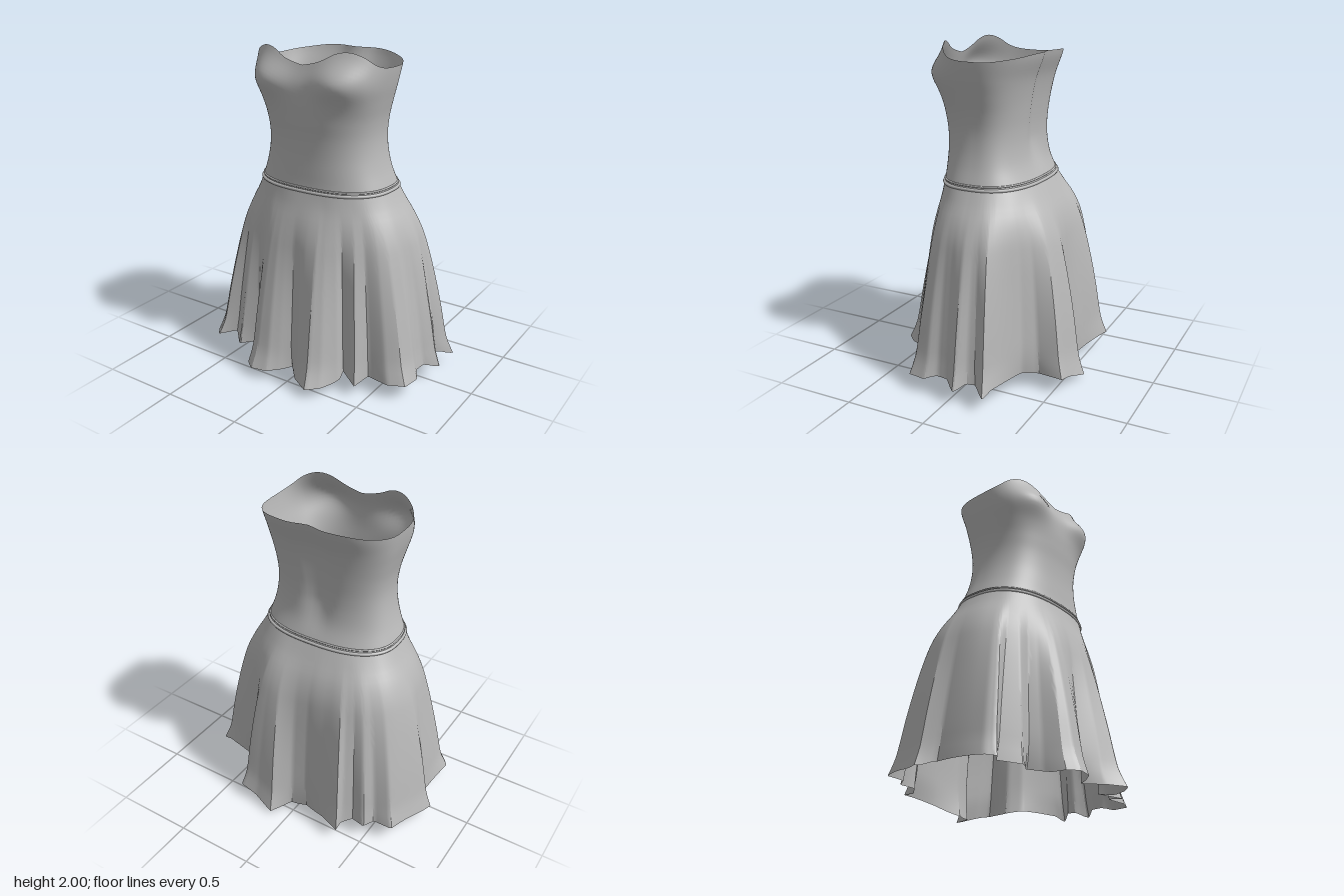
import * as THREE from 'three';
import { toCreasedNormals } from 'three/addons/utils/BufferGeometryUtils.js';

// Smooth lookup through rows of [key, value, value, ...]
function table(rows) {
  const size = rows[0].length - 1;
  const f = new THREE.CubicInterpolant(rows.map(r => r[0]), rows.flatMap(r => r.slice(1)), size);
  return t => Array.from(f.evaluate(t));
}

// Closed loft: point(i, j) for rows from bottom to top, columns around
function loft(rows, cols, point, crease) {
  const pos = [], index = [];
  for (let i = 0; i <= rows; i++)
    for (let j = 0; j < cols; j++) pos.push(...point(i, j));
  for (let i = 0; i < rows; i++)
    for (let j = 0; j < cols; j++) {
      const a = i * cols + j, b = i * cols + (j + 1) % cols;
      index.push(a, b, a + cols, b, b + cols, a + cols);
    }
  const g = new THREE.BufferGeometry();
  g.setAttribute('position', new THREE.Float32BufferAttribute(pos, 3));
  g.setIndex(index);
  g.computeVertexNormals();
  return crease ? toCreasedNormals(g, crease) : g;
}

// Torso: height, half width, front depth, back depth, front roundness
const torso = table([
  [1.1, 0.46, 0.325, 0.31, 0.8], [1.2, 0.425, 0.308, 0.26, 0.8], [1.3, 0.39, 0.302, 0.222, 0.8],
  [1.4, 0.367, 0.300, 0.207, 0.8], [1.5, 0.358, 0.305, 0.207, 0.76], [1.6, 0.366, 0.318, 0.217, 0.7],
  [1.7, 0.387, 0.326, 0.232, 0.62], [1.8, 0.41, 0.318, 0.255, 0.58], [1.92, 0.428, 0.286, 0.30, 0.62],
  [2.02, 0.43, 0.272, 0.32, 0.66],
]);
// Neckline height by angle from the front centre
const neckline = table([
  [0, 1.915], [0.2, 1.945], [0.4, 1.988], [0.6, 2.0], [0.85, 1.98], [1.2, 1.927],
  [1.57, 1.905], [2.3, 1.922], [2.8, 1.943], [Math.PI, 1.945],
]);

const power = (v, e) => Math.sign(v) * Math.abs(v) ** e;

// Body cross-section point, grown outward by `grow`
function body(y, a, grow = 0) {
  const [w, f, b, round] = torso(y);
  const front = Math.cos(a) > 0;
  // the sides share one exponent so front and back meet cleanly
  const x = (w + grow) * power(Math.sin(a), 0.8);
  const c = power(Math.cos(a), front ? round : 0.8);
  let z = c * ((front ? f : b) + grow);
  let push = 0;
  if (front) { // bust
    const dy = (y - 1.835) / (y < 1.835 ? 0.105 : 0.11);
    for (const s of [-1, 1])
      push += 0.065 * Math.exp(-(((x - s * 0.24) / 0.15) ** 2) - dy * dy) * Math.min(1, c * 1.5);
  } else { // hollow of the spine, fading towards the waist
    z += 0.032 * Math.exp(-((x / 0.08) ** 2)) * THREE.MathUtils.smoothstep(y, 1.2, 1.45);
  }
  return [x * (1 + push * 0.6) - 0.006, y, z + push];
}

// Hem outline (x, z), from the front centre towards +x and round
const HEM = [
  [-0.01, 0.43], [0.08, 0.53], [0.20, 0.60], [0.27, 0.53], [0.32, 0.40], [0.30, 0.33],
  [0.43, 0.415], [0.46, 0.30], [0.60, 0.32], [0.70, 0.28], [0.72, 0.17], [0.68, 0.10],
  [0.69, 0.03], [0.765, -0.05], [0.69, -0.10], [0.68, -0.15], [0.765, -0.24], [0.65, -0.27],
  [0.42, -0.32], [0.35, -0.40], [0.37, -0.56], [0.25, -0.565], [0.11, -0.60], [0.05, -0.45],
  [-0.05, -0.42], [-0.20, -0.48], [-0.37, -0.57], [-0.36, -0.50], [-0.41, -0.44],
  [-0.50, -0.465], [-0.54, -0.395], [-0.66, -0.395], [-0.70, -0.27], [-0.77, -0.07],
  [-0.68, 0.0], [-0.69, 0.33], [-0.65, 0.385], [-0.56, 0.30], [-0.46, 0.40], [-0.35, 0.32],
  [-0.30, 0.40], [-0.28, 0.53], [-0.22, 0.58], [-0.12, 0.56], [-0.06, 0.50], [-0.01, 0.43],
];

// Skirt: share of height, flare towards the hem, pleat depth
const flare = table([
  [0, 1, 1], [0.05, 0.965, 0.84], [0.1, 0.93, 0.72], [0.15, 0.905, 0.66], [0.3, 0.82, 0.56],
  [0.5, 0.69, 0.4], [0.65, 0.58, 0.25], [0.75, 0.485, 0.14], [0.84, 0.34, 0.05],
  [0.92, 0.16, 0], [1, 0, 0],
]);

function skirtGeometry() {
  const n = 330, reach = 20, rows = 30;
  const path = new THREE.Path().setFromPoints(HEM.map(p => new THREE.Vector2(...p)));
  const hem = path.getSpacedPoints(n).slice(0, n);
  // Average of neighbouring points gives the unpleated hem
  const plain = hem.map((_, j) => {
    const m = new THREE.Vector2();
    for (let k = -reach; k <= reach; k++) m.add(hem[(j + k + n) % n]);
    return m.divideScalar(2 * reach + 1);
  });
  return loft(rows, n, (i, j) => {
    const v = i / rows, p = plain[j], h = hem[j];
    const a = Math.atan2(p.x / 0.7, p.y / 0.5);
    const waist = body(1.19, a);
    const [even, pleat] = flare(v);
    // straighter at the front, fuller over the back
    const s = even - 0.35 * even * (1 - even) * Math.cos(a);
    // the hem dips at the front, at the side tips and most at the back centre
    let drop = 0.025 * THREE.MathUtils.smoothstep(Math.abs(h.x), 0.68, 0.76);
    drop += h.y > 0 ? 0.05 * Math.min(1, (h.y / 0.45) ** 2)
      : 0.112 * Math.exp(-((h.x / 0.28) ** 2)) * Math.min(1, (h.y / 0.4) ** 2);
    return [
      waist[0] + (p.x - waist[0]) * s + (h.x - p.x) * pleat,
      THREE.MathUtils.lerp(0.113 - drop, 1.19, v),
      waist[2] + (p.y - waist[2]) * s + (h.y - p.y) * pleat,
    ];
  }, 0.5);
}

export function createModel() {
  const group = new THREE.Group();
  const fabric = new THREE.MeshStandardMaterial({ color: 0xb8b8b8, side: THREE.DoubleSide });
  fabric.name = 'greyFabric';
  const add = (name, geometry) => {
    const mesh = new THREE.Mesh(geometry, fabric);
    mesh.name = name;
    group.add(mesh);
  };

  // Strapless bodice with a curved neckline
  const cols = 96, rows = 36;
  add('bodice', loft(rows, cols, (i, j) => {
    const a = j / cols * Math.PI * 2;
    const top = neckline(Math.min(a, Math.PI * 2 - a))[0];
    return body(THREE.MathUtils.lerp(1.19, top, i / rows), a);
  }));

  // Waistband: two thin piped rings
  for (const [name, y, r] of [['upperPiping', 1.205, 0.006], ['lowerPiping', 1.184, 0.01]])
    add(name, loft(8, cols, (i, j) => {
      const t = i / 8 * Math.PI * 2 - Math.PI / 2;
      const p = body(y, j / cols * Math.PI * 2, r * Math.cos(t));
      return [p[0], y + r * Math.sin(t), p[2]];
    }));

  // Pleated skirt
  add('skirt', skirtGeometry());
  return group;
}
